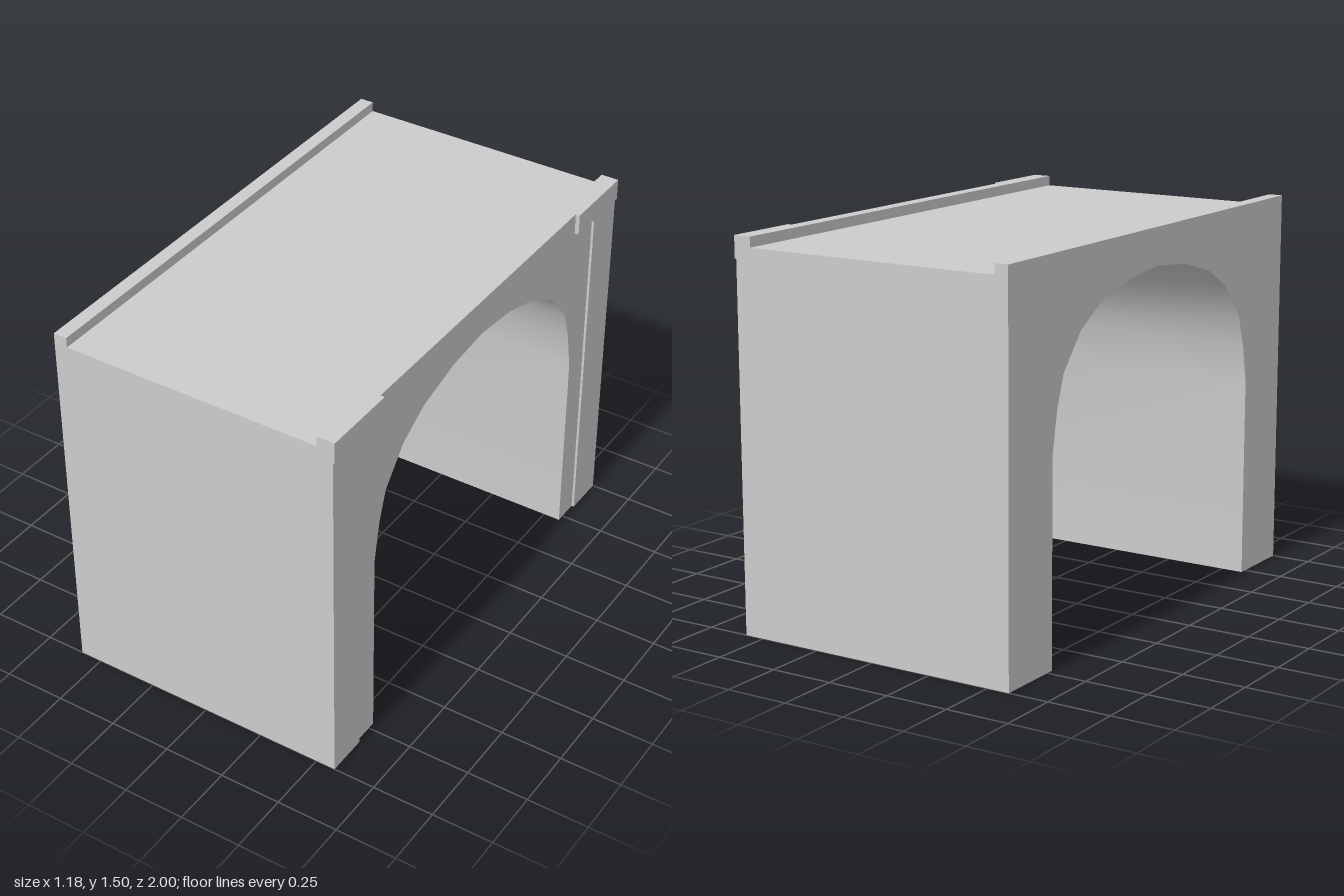
import * as THREE from 'three';
import { toCreasedNormals } from 'three/addons/utils/BufferGeometryUtils.js';

const BACK = -0.59, FACE = 0.57, DECK = 1.465, TOP = 1.505;

export function createModel() {
  const group = new THREE.Group();
  const material = new THREE.MeshStandardMaterial({ color: 0xcccccc });

  const add = (name, geometry) => {
    const mesh = new THREE.Mesh(geometry, material);
    mesh.name = name;
    group.add(mesh);
  };
  // Box given by its limits on each axis
  const addBox = (name, x0, x1, y0, y1, z0, z1) => {
    const geometry = new THREE.BoxGeometry(x1 - x0, y1 - y0, z1 - z0);
    geometry.translate((x0 + x1) / 2, (y0 + y1) / 2, (z0 + z1) / 2);
    add(name, geometry);
  };

  // Arched body: half of the opening is listed and mirrored
  const half = [[0.72, 0], [0.72, 0.79], [0.69, 0.95], [0.65, 1.07], [0.535, 1.205], [0.4, 1.285], [0.2, 1.34]];
  const opening = [...half, [0, 1.36], ...half.map(([z, y]) => [-z, y]).reverse()];
  const outline = [[-1, 0], [-1, DECK], [1, DECK], [1, 0], ...opening];
  const shape = new THREE.Shape(outline.map(([z, y]) => new THREE.Vector2(z, y)));
  const body = new THREE.ExtrudeGeometry(shape, { depth: FACE - BACK, bevelEnabled: false });
  body.rotateY(Math.PI / 2);
  body.translate(BACK, 0, 0);
  add('archBody', toCreasedNormals(body, 0.6));

  // Low parapets along both edges of the deck
  addBox('rightParapet', BACK, -0.535, DECK, TOP, -1, 1);
  addBox('leftParapet', 0.515, FACE, DECK, TOP, -1, 1);

  // Shallow pilasters with wider caps at the ends of the decorated side
  for (const [end, s] of [['front', 1], ['back', -1]]) {
    const span = (inner) => (s > 0 ? [inner, 1] : [-1, -inner]);
    addBox(end + 'Pilaster', FACE, 0.58, 0, 1.42, ...span(0.83));
    addBox(end + 'PilasterCap', FACE, 0.587, 1.42, TOP, ...span(0.69));
  }
  return group;
}
